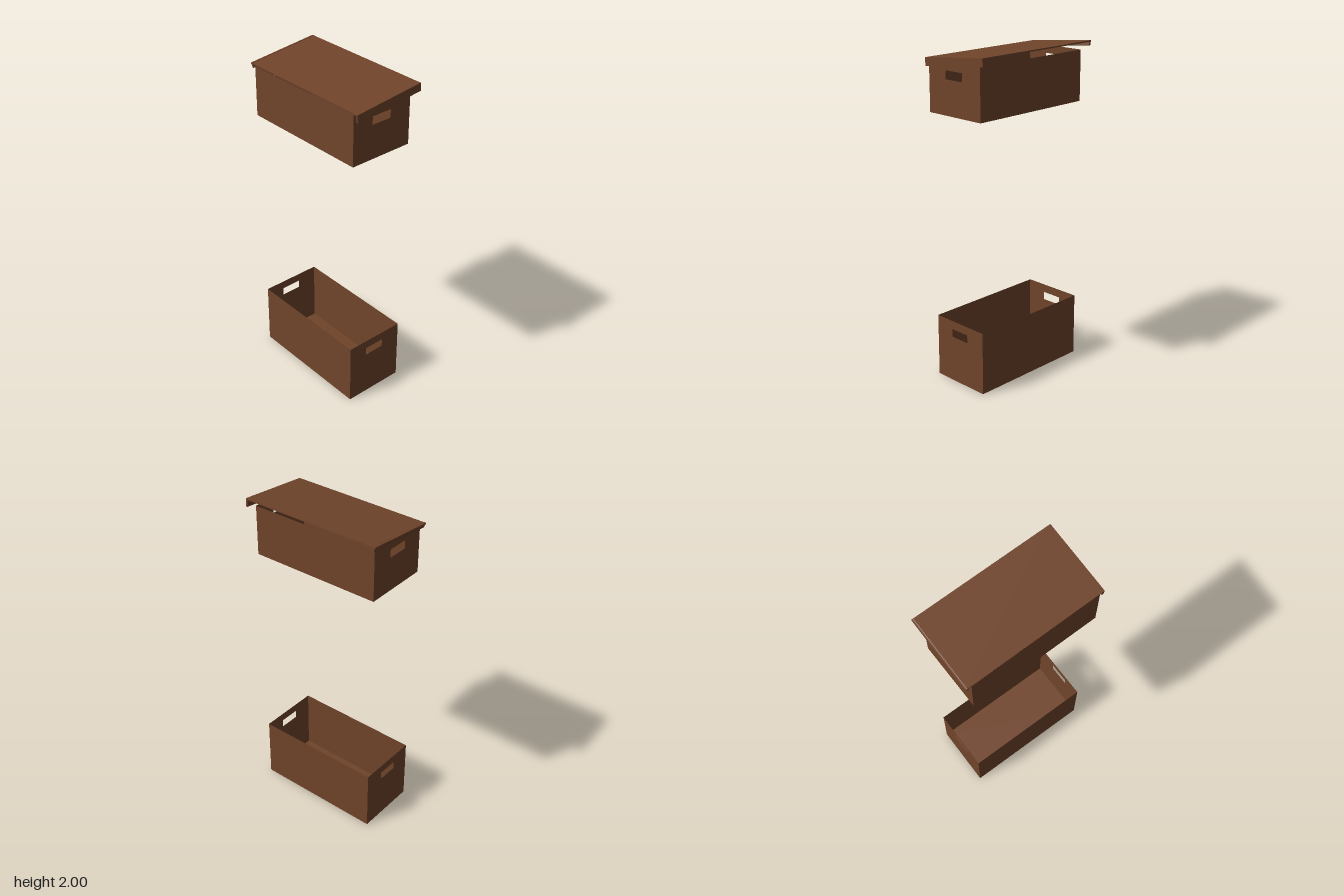
import * as THREE from 'three';

const wood = new THREE.MeshStandardMaterial({ color: 0x70442a, side: THREE.DoubleSide, flatShading: true });

function add(parent, name, geometry, x = 0, y = 0, z = 0) {
  const mesh = new THREE.Mesh(geometry, wood);
  mesh.name = name;
  mesh.position.set(x, y, z);
  parent.add(mesh);
  return mesh;
}

// End panel in the z-y plane with a rectangular hand hole
function endPanel(d, h, holeZ, holeTop) {
  const rect = (path, z0, z1, y0, y1) =>
    path.moveTo(z0, y0).lineTo(z1, y0).lineTo(z1, y1).lineTo(z0, y1).closePath();
  const shape = rect(new THREE.Shape(), -d / 2, d / 2, 0, h);
  const top = h - holeTop;
  shape.holes.push(rect(new THREE.Path(), holeZ - 0.065, holeZ + 0.065, top - 0.05, top));
  return new THREE.ShapeGeometry(shape).rotateY(-Math.PI / 2);
}

// Open thin-walled crate standing on its own y = 0
function makeCrate(name, w, h, d, holeZ, holeTop) {
  const crate = new THREE.Group();
  crate.name = name;
  add(crate, 'crateFloor', new THREE.PlaneGeometry(w, d).rotateX(Math.PI / 2));
  add(crate, 'frontWall', new THREE.PlaneGeometry(w, h), 0, h / 2, d / 2);
  add(crate, 'backWall', new THREE.PlaneGeometry(w, h).rotateY(Math.PI), 0, h / 2, -d / 2);
  for (const s of [-1, 1]) {
    add(crate, s > 0 ? 'leftEndPanel' : 'rightEndPanel', endPanel(d, h, holeZ, holeTop), s * w / 2);
  }
  return crate;
}

export function createModel() {
  const model = new THREE.Group();
  model.name = 'crates';

  // Lower open crate
  const lower = makeCrate('lowerCrate', 0.806, 0.39, 0.386, 0.003, 0.053);
  lower.position.set(0, 0, 0.018);
  model.add(lower);

  // Upper crate, turned very slightly
  const upper = makeCrate('upperCrate', 0.823, 0.305, 0.407, 0.003, 0.05);
  upper.position.set(0.0035, 1.64, 0.0225);
  upper.rotation.y = 0.01;
  model.add(upper);

  // Tilted lid resting on the upper crate
  const lid = new THREE.Group();
  lid.name = 'lid';
  lid.position.set(-0.001, 1.9775, 0);
  lid.rotation.set(0.1, 0.01, 0, 'YXZ');
  model.add(lid);
  const w = 0.89, d = 0.456, t = 0.008;
  add(lid, 'lidBoard', new THREE.BoxGeometry(w, t, d), 0, -t / 2, 0);

  // Hanging rims at the two ends; the one at -x is shorter and leans inward
  add(lid, 'leftRim', new THREE.BoxGeometry(0.012, 0.048, d), w / 2 - 0.006, -0.024, 0);
  const rim = add(lid, 'rightRim', new THREE.BoxGeometry(0.012, 0.03, d).translate(0, -0.015, 0), -w / 2 + 0.007, 0, 0);
  rim.rotation.z = 0.35;

  return model;
}
